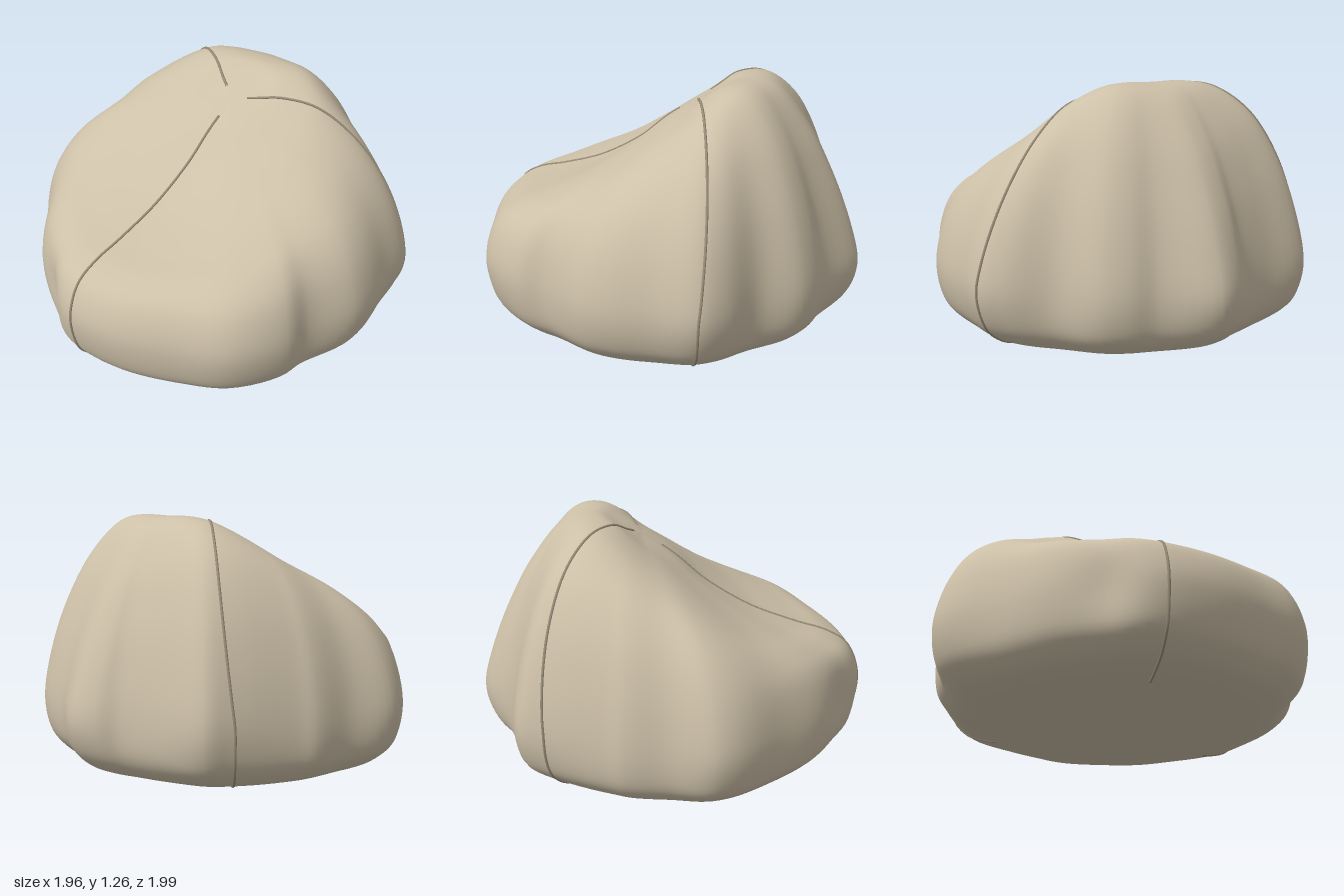
import * as THREE from 'three';

// Widest outline of the bag seen from above, as (x, z), clockwise from the back
const OUTLINE = [
  [0, -1], [0.25, -0.88], [0.4, -0.86], [0.52, -0.8], [0.65, -0.63], [0.85, -0.53], [0.95, -0.42],
  [0.96, -0.2], [0.98, 0], [0.96, 0.14], [0.84, 0.36], [0.82, 0.53], [0.66, 0.76], [0.42, 0.87],
  [0.13, 0.97], [-0.13, 0.99], [-0.27, 0.96], [-0.4, 0.86], [-0.6, 0.7], [-0.76, 0.5],
  [-0.94, 0.29], [-0.98, 0.15], [-0.9, -0.05], [-0.88, -0.25], [-0.83, -0.35], [-0.72, -0.63],
  [-0.65, -0.76], [-0.4, -0.81], [-0.22, -0.88], [-0.13, -0.96],
].map(([x, z]) => new THREE.Vector3(x, 0, z));
const LOOP = new THREE.CatmullRomCurve3(OUTLINE, true, 'centripetal');

// Fractions of the outline from the crown to the rim, then back under to the base
const SPREAD = [0, 0.15, 0.3, 0.5, 0.7, 0.85, 0.95, 1, 0.975, 0.9, 0.8, 0.65, 0.55, 0];
const RIM = 7;
const CROWN = new THREE.Vector3(0.02, 0, -0.15);

// Heights along SPREAD down to the rim, every 45 degrees from the front towards +x
const HEIGHTS = [
  [1.14, 1.03, 0.89, 0.76, 0.68, 0.63, 0.55, 0.38],
  [1.14, 1.06, 0.96, 0.84, 0.75, 0.68, 0.57, 0.38],
  [1.14, 1.12, 1.08, 1.01, 0.90, 0.76, 0.58, 0.36],
  [1.14, 1.19, 1.24, 1.22, 1.06, 0.84, 0.60, 0.36],
  [1.14, 1.21, 1.26, 1.21, 1.00, 0.75, 0.52, 0.33],
  [1.14, 1.19, 1.24, 1.22, 1.09, 0.87, 0.61, 0.36],
  [1.14, 1.12, 1.10, 1.05, 0.96, 0.81, 0.60, 0.36],
  [1.14, 1.06, 0.96, 0.85, 0.76, 0.69, 0.58, 0.38],
];
// Heights under the rim, the same all round
const UNDERSIDE = [0.18, 0.085, 0.035, 0.003, 0, 0];

// Soft hollow in the front
const DENT = new THREE.Vector3(-0.34, 0.36, 0.88);

// Smooth blend of the height profiles around the bag
function heightAt(angle, n) {
  if (n > RIM) return UNDERSIDE[n - RIM - 1];
  const k = angle / (Math.PI / 4) + 8;
  const i = Math.floor(k), f = k - i;
  const [a, b, c, d] = [i - 1, i, i + 1, i + 2].map((j) => HEIGHTS[j % 8][n]);
  return b + 0.5 * f * (c - a + f * (2 * a - 5 * b + 4 * c - d + f * (3 * (b - c) + d - a)));
}

// Curve from the crown over the rim to the base centre; u runs around the outline.
// The lobes are strongest at the rim and fade towards the crown and the base.
function rib(u) {
  const edge = LOOP.getPoint(u);
  const angle = Math.atan2(edge.x, edge.z);
  const round = edge.clone().setLength(0.96);
  return new THREE.CatmullRomCurve3(SPREAD.map((s, n) => {
    const lobe = n <= RIM ? s * s : Math.max(0, 1 - (n - RIM) / 4);
    const p = round.clone().lerp(edge, lobe);
    if (n <= RIM) p.lerp(CROWN, 1 - s);
    else p.multiplyScalar(s);
    p.y = heightAt(angle, n);
    return p;
  }), false, 'catmullrom', 0.5);
}

function ribPoint(curve, t) {
  const p = curve.getPoint(t);
  const push = 1 - 0.045 * Math.exp(-p.distanceToSquared(DENT) / 0.025);
  return p.set(p.x * push, Math.max(0, p.y), p.z * push);
}

function bagGeometry(around, down) {
  const positions = [], index = [];
  for (let i = 0; i < around; i++) {
    const curve = rib(i / around);
    for (let j = 0; j <= down; j++) positions.push(...ribPoint(curve, j / down).toArray());
  }
  // All ribs share their first and last points
  const id = (i, j) => (j === 0 || j === down ? j : (i % around) * (down + 1) + j);
  for (let i = 0; i < around; i++) {
    for (let j = 0; j < down; j++) {
      const a = id(i, j), b = id(i, j + 1), c = id(i + 1, j), d = id(i + 1, j + 1);
      if (j > 0) index.push(a, c, b);
      if (j < down - 1) index.push(c, d, b);
    }
  }
  const geometry = new THREE.BufferGeometry();
  geometry.setAttribute('position', new THREE.Float32BufferAttribute(positions, 3));
  geometry.setIndex(index);
  geometry.computeVertexNormals();
  return geometry;
}

// Piping along the surface; bend shifts its middle sideways, in outline steps
function seamGeometry(corner, bend) {
  const last = SPREAD.length - 1;
  const points = [];
  for (let k = 0; k <= 40; k++) {
    const n = THREE.MathUtils.lerp(0.6, 10.7, k / 40);
    const sway = bend * Math.sin(Math.PI * Math.min(1, n / RIM));
    points.push(ribPoint(rib((corner + sway) / OUTLINE.length), n / last));
  }
  return new THREE.TubeGeometry(new THREE.CatmullRomCurve3(points), 80, 0.007, 6);
}

export function createModel() {
  const fabric = new THREE.MeshStandardMaterial({ color: 0xcdc0a8 });
  fabric.name = 'beige fabric';
  const thread = new THREE.MeshStandardMaterial({ color: 0x9a8e78 });
  thread.name = 'seam brown';

  const group = new THREE.Group();
  group.name = 'beanBag';

  // Slumped bag with a high back and a low front
  const bag = new THREE.Mesh(bagGeometry(150, 78), fabric);
  bag.name = 'bag';
  group.add(bag);

  // Three piped seams from the crown to the base
  for (const [name, corner, bend] of [['frontSeam', 15, 0], ['leftSeam', 6, -0.4], ['rightSeam', 25, 0.35]]) {
    const seam = new THREE.Mesh(seamGeometry(corner, bend), thread);
    seam.name = name;
    group.add(seam);
  }
  return group;
}
